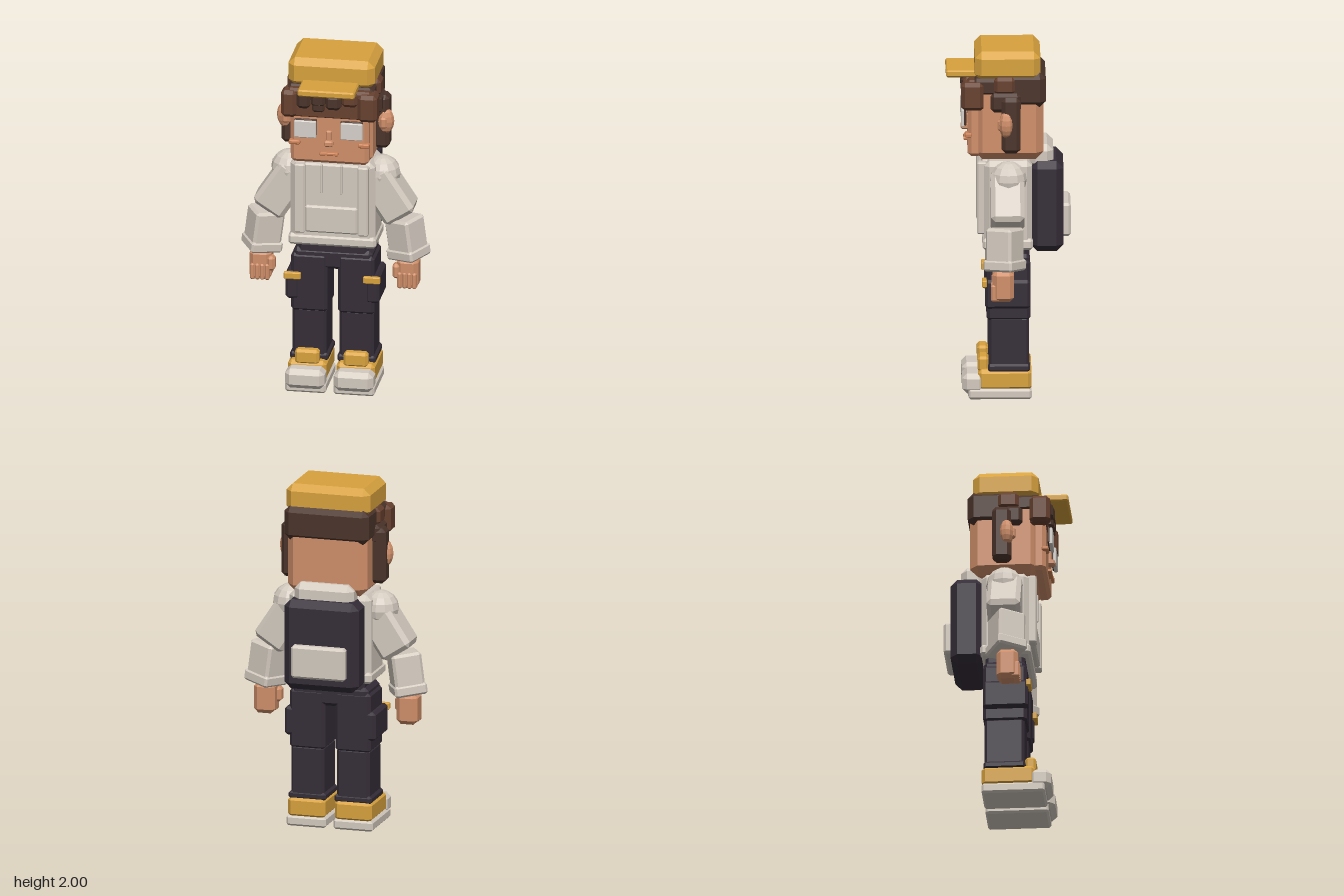
import * as THREE from 'three';
import { ConvexGeometry } from 'three/addons/geometries/ConvexGeometry.js';

const mat = (name, color) => {
  const m = new THREE.MeshStandardMaterial({ color });
  m.name = name;
  return m;
};

// Box with flat bevels on every edge
function bevelBox(w, h, d, c) {
  const pts = [];
  const [a, b, e] = [w / 2, h / 2, d / 2];
  c = Math.min(c, a * 0.8, b * 0.8, e * 0.8);
  for (const x of [-1, 1]) for (const y of [-1, 1]) for (const z of [-1, 1]) {
    pts.push(new THREE.Vector3(x * a, y * (b - c), z * (e - c)));
    pts.push(new THREE.Vector3(x * (a - c), y * b, z * (e - c)));
    pts.push(new THREE.Vector3(x * (a - c), y * (b - c), z * e));
  }
  return new ConvexGeometry(pts);
}

export function createModel() {
  const skin = mat('skin', 0xd08f6a), blush = mat('blush', 0xcc8257);
  const hairDark = mat('dark hair', 0x4b342b), hairMid = mat('brown hair', 0x67412f);
  const cloth = mat('hoodie cream', 0xd3cabf), eyeMat = mat('eye grey', 0xd6d0ca);
  const navy = mat('dark cloth', 0x352d38), gold = mat('gold', 0xd8a23e);

  const model = new THREE.Group();
  model.name = 'figure';

  const add = (parent, name, geo, material) => {
    const m = new THREE.Mesh(geo, material);
    m.name = name;
    parent.add(m);
    return m;
  };
  // Bevelled box given by its extents on each axis
  const span = (parent, name, material, [x0, x1], [y0, y1], [z0, z1], c = 0.015) => {
    const m = add(parent, name, bevelBox(x1 - x0, y1 - y0, z1 - z0, c), material);
    m.position.set((x0 + x1) / 2, (y0 + y1) / 2, (z0 + z1) / 2);
    return m;
  };
  const group = (name) => {
    const g = new THREE.Group();
    g.name = name;
    model.add(g);
    return g;
  };

  // Head and face
  const head = group('head');
  span(head, 'skull', skin, [-0.235, 0.235], [1.375, 1.86], [-0.2, 0.19], 0.045);
  span(head, 'facePlate', skin, [-0.222, 0.222], [1.395, 1.8], [0.15, 0.228], 0.02);
  span(head, 'neck', skin, [-0.1, 0.1], [1.3, 1.4], [-0.09, 0.09]);
  span(head, 'noseBridge', skin, [-0.016, 0.016], [1.53, 1.6], [0.22, 0.245], 0.006);
  span(head, 'noseTip', skin, [-0.025, 0.025], [1.51, 1.545], [0.22, 0.265], 0.008);
  span(head, 'mouth', blush, [-0.052, 0.052], [1.452, 1.47], [0.222, 0.25], 0.004);

  // Hat
  const hat = group('hat');
  span(hat, 'crown', gold, [-0.247, 0.247], [1.83, 2], [-0.182, 0.188], 0.038);
  span(hat, 'brim', gold, [-0.162, 0.162], [1.84, 1.88], [0.15, 0.35], 0.008);

  // Hair band, forehead strip and fringe blocks
  const hair = group('hair');
  span(hair, 'backBand', hairDark, [-0.25, 0.25], [1.68, 1.88], [-0.212, 0.09], 0.035);
  span(hair, 'sideBand', hairDark, [-0.245, 0.245], [1.75, 1.85], [0, 0.2], 0.02);
  span(hair, 'foreheadStrip', hairMid, [-0.24, 0.24], [1.665, 1.84], [0.13, 0.234], 0.015);
  const fringe = [
    [-0.275, -0.185, 1.67, 1.83, hairMid], [-0.185, -0.105, 1.73, 1.83, hairDark],
    [-0.105, -0.02, 1.76, 1.84, hairDark], [-0.02, 0.07, 1.73, 1.82, hairDark],
    [0.07, 0.165, 1.75, 1.84, hairMid], [0.165, 0.275, 1.67, 1.83, hairMid],
  ];
  fringe.forEach(([x0, x1, y0, y1, m], i) =>
    span(hair, 'fringe' + i, m, [x0, x1], [y0, y1], [0.14, i % 2 ? 0.265 : 0.255], 0.02));
  span(hair, 'fringeLock', hairDark, [-0.1, -0.02], [1.75, 1.84], [0.2, 0.268], 0.015);
  span(hair, 'fringeTip', hairDark, [-0.095, -0.025], [1.715, 1.77], [0.2, 0.262], 0.012);

  // Torso
  const torso = group('hoodie');
  span(torso, 'body', cloth, [-0.242, 0.242], [0.87, 1.37], [-0.135, 0.135], 0.03);
  span(torso, 'hem', cloth, [-0.25, 0.25], [0.86, 0.925], [-0.14, 0.145], 0.015);
  span(torso, 'chestPanel', cloth, [-0.16, 0.16], [0.95, 1.36], [0.1, 0.15], 0.01);
  span(torso, 'frontPocket', cloth, [-0.15, 0.15], [0.95, 1.11], [0.12, 0.168], 0.01);
  span(torso, 'hood', cloth, [-0.175, 0.175], [1.31, 1.45], [-0.255, -0.12], 0.035);

  // Backpack
  const pack = group('backpack');
  span(pack, 'bag', navy, [-0.22, 0.22], [0.84, 1.36], [-0.312, -0.125], 0.04);
  span(pack, 'bagPocket', cloth, [-0.16, 0.16], [0.92, 1.11], [-0.353, -0.29], 0.014);

  // Hips
  const hips = group('hips');
  span(hips, 'waist', navy, [-0.2, 0.2], [0.71, 0.9], [-0.115, 0.11], 0.02);
  span(hips, 'seat', navy, [-0.225, 0.225], [0.71, 0.83], [-0.122, 0.115], 0.02);

  for (const s of [1, -1]) {
    const side = s > 0 ? 'left' : 'right';
    const mx = ([a, b]) => (s > 0 ? [a, b] : [-b, -a]);
    const put = (p, name, m, x, y, z, c) => span(p, name, m, mx(x), y, z, c);

    // Eye, cheek, ear and sideburn
    put(head, side + 'EyeBack', hairDark, [0.068, 0.195], [1.57, 1.667], [0.236, 0.25], 0.004);
    put(head, side + 'Eye', eyeMat, [0.07, 0.195], [1.56, 1.66], [0.245, 0.265], 0.004);
    put(head, side + 'Cheek', blush, [0.165, 0.23], [1.507, 1.532], [0.205, 0.245], 0.006);
    const ear = add(head, side + 'Ear', new THREE.SphereGeometry(1, 10, 8).toNonIndexed(), skin);
    ear.geometry.computeVertexNormals();
    ear.scale.set(0.05, 0.078, 0.042);
    ear.position.set(s * 0.285, 1.595, 0.012);
    put(head, side + 'EarFold', skin, [0.26, 0.3], [1.56, 1.625], [0.03, 0.062], 0.01);
    put(hair, side + 'Sideburn', hairDark, [0.215, 0.308], [1.43, 1.75], [-0.068, 0.038], 0.022);
    put(hair, side + 'UpperLock', hairMid, [0.2, 0.268], [1.76, 1.86], [-0.04, 0.08], 0.02);
    put(hair, side + 'LowerLock', hairDark, [0.2, 0.275], [1.66, 1.77], [-0.07, 0.1], 0.02);

    // Straps and drawstrings
    put(torso, side + 'Strap', cloth, [0.15, 0.212], [0.945, 1.36], [0.12, 0.175], 0.008);
    put(torso, side + 'String', cloth, [0.05, 0.062], [1.19, 1.36], [0.14, 0.165], 0.003);

    // Arm
    const arm = group(side + 'Arm');
    const shoulder = add(arm, 'shoulder', new THREE.SphereGeometry(0.104, 12, 8).toNonIndexed(), cloth);
    shoulder.geometry.computeVertexNormals();
    shoulder.position.set(s * 0.265, 1.275, 0);
    const upper = add(arm, 'upperSleeve', bevelBox(0.2, 0.31, 0.19, 0.025), cloth);
    upper.position.set(s * 0.3, 1.16, 0.005);
    upper.rotation.z = s * 0.58;
    const lower = new THREE.Group();
    lower.name = 'forearm';
    lower.position.set(s * 0.405, 0.915, 0.022);
    lower.rotation.set(0, s * -0.52, s * 0.13, 'ZYX');
    arm.add(lower);
    add(lower, 'lowerSleeve', bevelBox(0.172, 0.22, 0.165, 0.015), cloth);
    add(lower, 'cuff', bevelBox(0.188, 0.065, 0.182, 0.012), cloth).position.y = -0.1;

    // Hand with fingers and thumb
    put(arm, 'palm', skin, [0.358, 0.482], [0.61, 0.79], [-0.03, 0.092], 0.025);
    put(arm, 'thumb', skin, [0.335, 0.38], [0.67, 0.755], [0.03, 0.095], 0.014);
    for (let i = 0; i < 4; i++) {
      const x = 0.365 + i * 0.028;
      put(arm, 'finger' + i, skin, [x, x + 0.026], [0.615, 0.71], [0.05, 0.1], 0.008);
    }

    // Leg with cargo pocket
    const leg = group(side + 'Leg');
    put(leg, 'thigh', navy, [0.03, 0.238], [0.45, 0.8], [-0.124, 0.122], 0.018);
    put(leg, 'shin', navy, [0.037, 0.232], [0.17, 0.47], [-0.118, 0.11], 0.016);
    put(leg, 'trouserCuff', navy, [0.025, 0.245], [0.155, 0.2], [-0.122, 0.115], 0.012);
    put(leg, 'cargoPocket', navy, [0.19, 0.268], [0.525, 0.69], [-0.122, 0.13], 0.015);
    put(leg, 'pocketTag', gold, [0.178, 0.275], [0.65, 0.69], [0.12, 0.148], 0.005);

    // Shoe
    const shoe = group(side + 'Shoe');
    put(shoe, 'sole', cloth, [0.022, 0.255], [0, 0.06], [-0.132, 0.225], 0.012);
    put(shoe, 'shoeUpper', gold, [0.028, 0.248], [0.05, 0.168], [-0.132, 0.17], 0.02);
    put(shoe, 'toeCap', cloth, [0.026, 0.252], [0.03, 0.145], [0.135, 0.26], 0.028);
    put(shoe, 'tongue', gold, [0.07, 0.208], [0.15, 0.235], [0.11, 0.172], 0.014);
  }
  return model;
}
